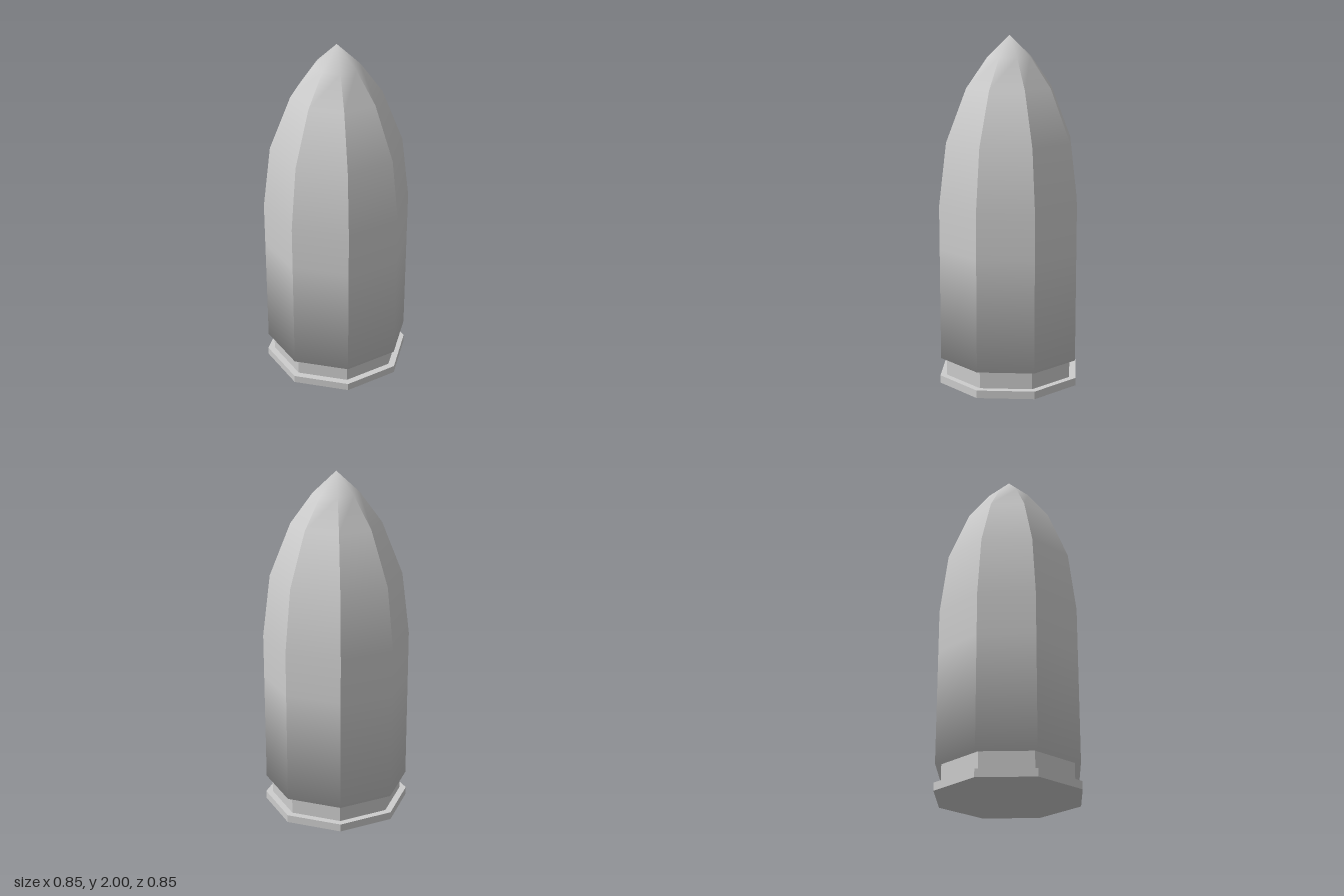
import * as THREE from 'three';

const SIDES = 8;

// Body rings from bottom to tip: radius, height, upward part of the normal, rounded across corners
const RINGS = [
  [0, 0.15, -1, true],
  [0.42, 0.15, -0.7, true],
  [0.42, 0.8, 0, false],
  [0.42, 1.05, 0.06, false],
  [0.375, 1.41, 0.25, false],
  [0.255, 1.71, 0.48, false],
  [0.13, 1.88, 0.66, true],
  [0, 2, 1, true],
];

// Eight-sided pointed shell: crisp edges on the flanks, blended at tip and foot
function bodyGeometry() {
  const position = [], normal = [];
  const step = (Math.PI * 2) / SIDES;
  const put = (ring, k, facet) => {
    const [r, y, ny, smooth] = RINGS[ring];
    const a = k * step;
    const na = smooth ? a : (facet + 0.5) * step;
    const nr = Math.sqrt(1 - ny * ny);
    position.push(r * Math.sin(a), y, r * Math.cos(a));
    normal.push(nr * Math.sin(na), ny, nr * Math.cos(na));
  };
  for (let f = 0; f < SIDES; f++) {
    for (let i = 0; i < RINGS.length - 1; i++) {
      if (RINGS[i][0] > 0) {
        put(i, f, f); put(i, f + 1, f); put(i + 1, f + 1, f);
      }
      if (RINGS[i + 1][0] > 0) {
        put(i, f, f); put(i + 1, f + 1, f); put(i + 1, f, f);
      }
    }
  }
  const g = new THREE.BufferGeometry();
  g.setAttribute('position', new THREE.Float32BufferAttribute(position, 3));
  g.setAttribute('normal', new THREE.Float32BufferAttribute(normal, 3));
  return g;
}

// Flat-faceted octagonal disc
function discGeometry(radius, bottom, top) {
  const g = new THREE.CylinderGeometry(radius, radius, top - bottom, SIDES).toNonIndexed();
  g.translate(0, (top + bottom) / 2, 0);
  g.computeVertexNormals();
  return g;
}

export function createModel() {
  const model = new THREE.Group();
  model.name = 'bullet';
  const metal = new THREE.MeshStandardMaterial({ color: 0xcccccc });
  metal.name = 'light grey metal';

  const add = (name, geometry) => {
    const mesh = new THREE.Mesh(geometry, metal);
    mesh.name = name;
    model.add(mesh);
  };

  add('baseRim', discGeometry(0.425, 0, 0.045));
  add('grooveNeck', discGeometry(0.385, 0.045, 0.15));
  add('pointedBody', bodyGeometry());
  return model;
}
